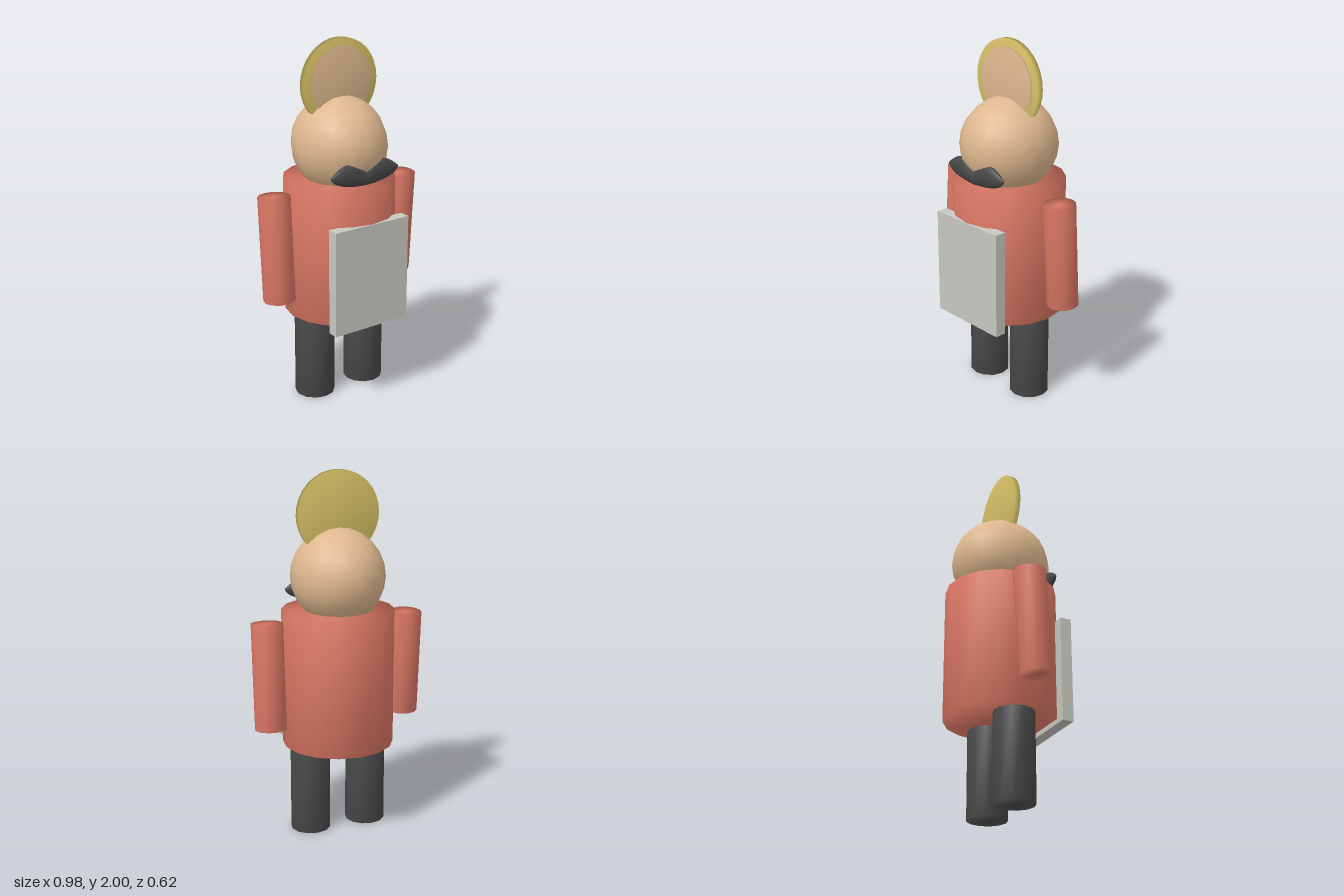
import * as THREE from 'three';
import { mergeVertices } from 'three/addons/utils/BufferGeometryUtils.js';

const mat = (name, color) => {
  const m = new THREE.MeshStandardMaterial({ color });
  m.name = name;
  return m;
};

// Weld the rim so the shading rolls softly over the edges
function soften(geo) {
  geo.deleteAttribute('normal');
  geo.deleteAttribute('uv');
  const g = mergeVertices(geo, 1e-4);
  g.computeVertexNormals();
  return g;
}
const softCylinder = (r, h, sides) => soften(new THREE.CylinderGeometry(r, r, h, sides));

// Two-humped moustache swept along x from elliptical cross-sections
function moustacheGeometry(halfWidth, steps = 24, sides = 12) {
  const pos = [], index = [];
  for (let i = 0; i <= steps; i++) {
    const t = -Math.cos((i / steps) * Math.PI), u = Math.abs(t);
    const round = Math.sqrt(Math.max(0, 1 - t * t));
    const top = 0.05 * Math.sin(Math.PI * u) + 0.012 * (1 - u);
    const bottom = -0.076 * round;
    for (let j = 0; j < sides; j++) {
      const a = (j / sides) * Math.PI * 2;
      pos.push(
        t * halfWidth,
        (top + bottom) / 2 + ((top - bottom) / 2) * Math.cos(a),
        0.031 * round * Math.sin(a)
      );
      if (i < steps) {
        const k = (j + 1) % sides, p = i * sides, q = p + sides;
        index.push(p + j, p + k, q + j, p + k, q + k, q + j);
      }
    }
  }
  const g = new THREE.BufferGeometry();
  g.setAttribute('position', new THREE.Float32BufferAttribute(pos, 3));
  g.setIndex(index);
  g.computeVertexNormals();
  return g;
}

export function createModel() {
  const root = new THREE.Group();
  root.name = 'figure';
  const skin = mat('skin', 0xdeb88f);
  const red = mat('red shirt', 0xd97664);
  const dark = mat('charcoal', 0x484848);
  const gold = mat('gold', 0xd6c066);
  const grey = mat('pale grey', 0xc8c8c1);

  const add = (name, geo, material, x, y, z) => {
    const m = new THREE.Mesh(geo, material);
    m.name = name;
    m.position.set(x, y, z);
    root.add(m);
    return m;
  };

  // Body and apron
  add('torso', softCylinder(0.308, 0.757, 16), red, 0, 0.871, -0.003);
  add('apron', new THREE.BoxGeometry(0.474, 0.59, 0.064), grey, 0, 0.761, 0.277);

  // Limbs, the arms swinging in opposite directions
  for (const [side, s] of [['left', 1], ['right', -1]]) {
    add(side + 'Leg', softCylinder(0.111, 0.51, 12), dark, s * 0.167, 0.255, -0.003);
    const arm = add(side + 'Arm', softCylinder(0.088, 0.583, 12), red, s * 0.404, 0.91, -0.004);
    arm.rotation.x = s * 0.063;
  }

  // Head and moustache
  const head = add('head', new THREE.SphereGeometry(1, 16, 12), skin, 0, 1.43, -0.003);
  head.scale.set(0.256, 0.265, 0.278);
  add('moustache', moustacheGeometry(0.217), dark, 0, 1.33, 0.234);

  // Upright disc behind the crown with a smaller inset disc on its front
  const disc = add('crestDisc', softCylinder(0.234, 0.034, 32), gold, 0, 1.766, -0.004);
  const inset = add('crestInset', softCylinder(0.19, 0.02, 32), skin, 0, 1.768, 0.014);
  disc.rotation.x = inset.rotation.x = Math.PI / 2;

  return root;
}
